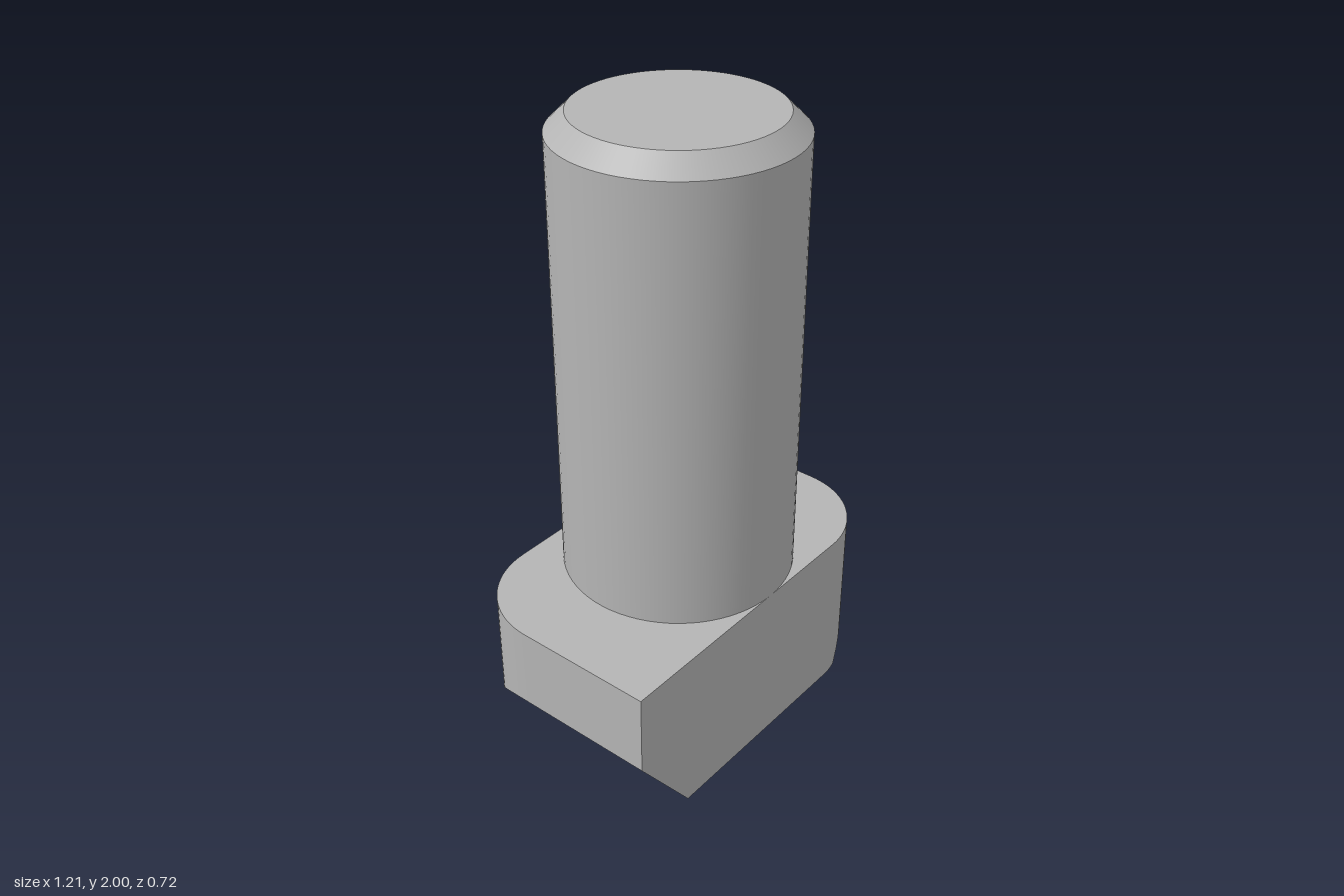
import * as THREE from 'three';
import { toCreasedNormals } from 'three/addons/utils/BufferGeometryUtils.js';

const HALF_X = 0.605, HALF_Z = 0.362, CORNER = 0.275;
const HEAD_TOP = 0.545, SLOPE_TOP = 0.28, BASE_X = 0.395;
const SHANK_R = 0.362, TIP_R = 0.303, CHAMFER_Y = 1.942;

// Lengthwise positions of the head's cross-sections, dense on the rounded corners
function stations() {
  const cx = HALF_X - CORNER;
  const start = Math.asin((BASE_X - cx) / CORNER);
  const half = [];
  for (let i = 0; i < 4; i++) half.push(cx + CORNER * Math.sin(start * i / 4));
  for (let i = 0; i <= 20; i++) {
    half.push(cx + CORNER * Math.sin(start + (Math.PI / 2 - start) * i / 20));
  }
  return [...half.map(x => -x).reverse(), ...half];
}

// Front edge of the footprint: straight, then rounded off at +x
function frontEdge(x) {
  const d = Math.max(0, x - (HALF_X - CORNER));
  return HALF_Z - CORNER + Math.sqrt(Math.max(0, CORNER * CORNER - d * d));
}

// Head: rectangular sections with two opposite round corners and sloped lower ends
function headGeometry() {
  const sections = stations().map(x => {
    const front = frontEdge(x), back = -frontEdge(-x);
    const low = Math.max(0, (Math.abs(x) - BASE_X) / (HALF_X - BASE_X)) * SLOPE_TOP;
    return [[x, low, front], [x, low, back], [x, HEAD_TOP, back], [x, HEAD_TOP, front]];
  });
  const pos = [];
  const quad = (a, b, c, d) => [a, b, c, a, c, d].forEach(p => pos.push(...p));
  for (let i = 0; i < sections.length - 1; i++) {
    const s = sections[i], t = sections[i + 1];
    for (let k = 0; k < 4; k++) {
      const n = (k + 1) % 4;
      quad(s[k], s[n], t[n], t[k]);
    }
  }
  const first = sections[0], last = sections[sections.length - 1];
  quad(first[0], first[3], first[2], first[1]);
  quad(last[0], last[1], last[2], last[3]);
  const geometry = new THREE.BufferGeometry();
  geometry.setAttribute('position', new THREE.Float32BufferAttribute(pos, 3));
  return toCreasedNormals(geometry, 0.3);
}

export function createModel() {
  const steel = new THREE.MeshStandardMaterial({ color: 0xb4b4b4 });
  steel.name = 'steel';
  const model = new THREE.Group();
  model.name = 'tSlotBolt';

  const add = (name, geometry, y = 0) => {
    const mesh = new THREE.Mesh(geometry, steel);
    mesh.name = name;
    mesh.position.y = y;
    model.add(mesh);
  };

  add('head', headGeometry());

  // Round shank standing on the head
  const length = CHAMFER_Y - HEAD_TOP;
  add('shank', new THREE.CylinderGeometry(SHANK_R, SHANK_R, length, 72, 1, true), HEAD_TOP + length / 2);

  // Chamfered tip, closed on top
  const tip = 2 - CHAMFER_Y;
  add('chamferedTip', new THREE.CylinderGeometry(TIP_R, SHANK_R, tip, 72), CHAMFER_Y + tip / 2);

  return model;
}
